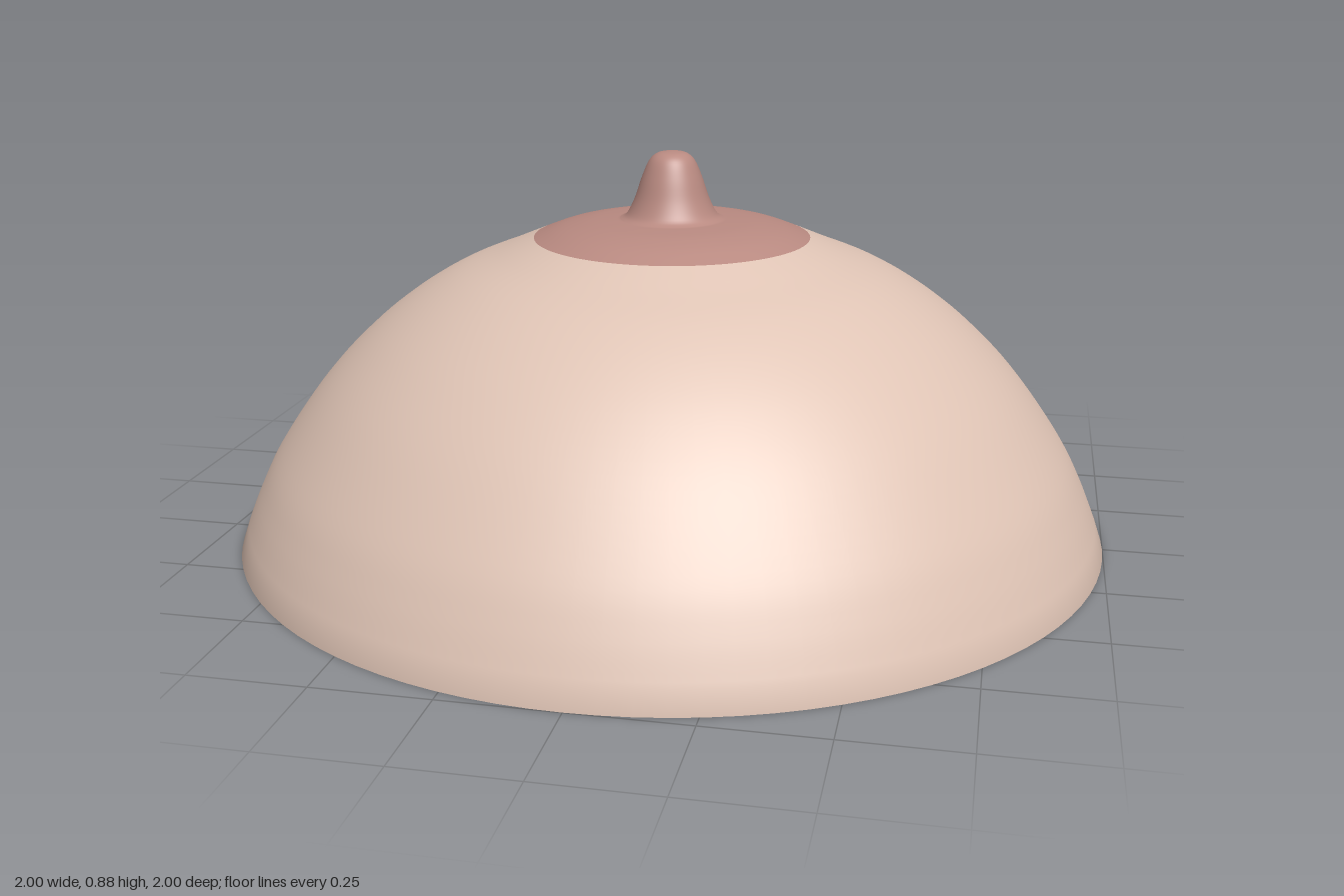
import * as THREE from 'three';

const SEGMENTS = 96;

// Turns a list of [radius, height] points into a smooth profile
function smoothProfile(points, divisions) {
  return new THREE.SplineCurve(points.map(([r, y]) => new THREE.Vector2(r, y)))
    .getPoints(divisions)
    .map((p) => new THREE.Vector2(Math.max(p.x, 0), p.y));
}

function turned(name, profile, material) {
  const mesh = new THREE.Mesh(new THREE.LatheGeometry(profile, SEGMENTS), material);
  mesh.name = name;
  return mesh;
}

export function createModel() {
  const skin = new THREE.MeshStandardMaterial({ color: 0xdfc4b5 });
  skin.name = 'skin';
  const rose = new THREE.MeshStandardMaterial({ color: 0xb98a81 });
  rose.name = 'rose';

  const group = new THREE.Group();
  group.name = 'domeModel';

  // Dome with its flat underside and softly shaded rim
  const dome = smoothProfile([
    [0.983, 0.05], [0.95, 0.13], [0.9, 0.225], [0.8, 0.365], [0.7, 0.47],
    [0.6, 0.55], [0.5, 0.61], [0.4, 0.652], [0.36, 0.669], [0.315, 0.688],
  ], 48);
  const base = [[0, 0], [0.99, 0], [1, 0]].map(([r, y]) => new THREE.Vector2(r, y));
  group.add(turned('dome', [...base, ...dome], skin));

  // Darker raised disc around the tip
  const disc = smoothProfile([
    [0.315, 0.688], [0.26, 0.709], [0.2, 0.722], [0.15, 0.727], [0.12, 0.729],
  ], 16);

  // Flared, rounded tip
  const tip = smoothProfile([
    [0.12, 0.729], [0.103, 0.74], [0.085, 0.775], [0.068, 0.825],
    [0.052, 0.861], [0.035, 0.877], [0.015, 0.882], [0, 0.883],
  ], 32);
  group.add(turned('discAndTip', [...disc, ...tip.slice(1)], rose));

  return group;
}
